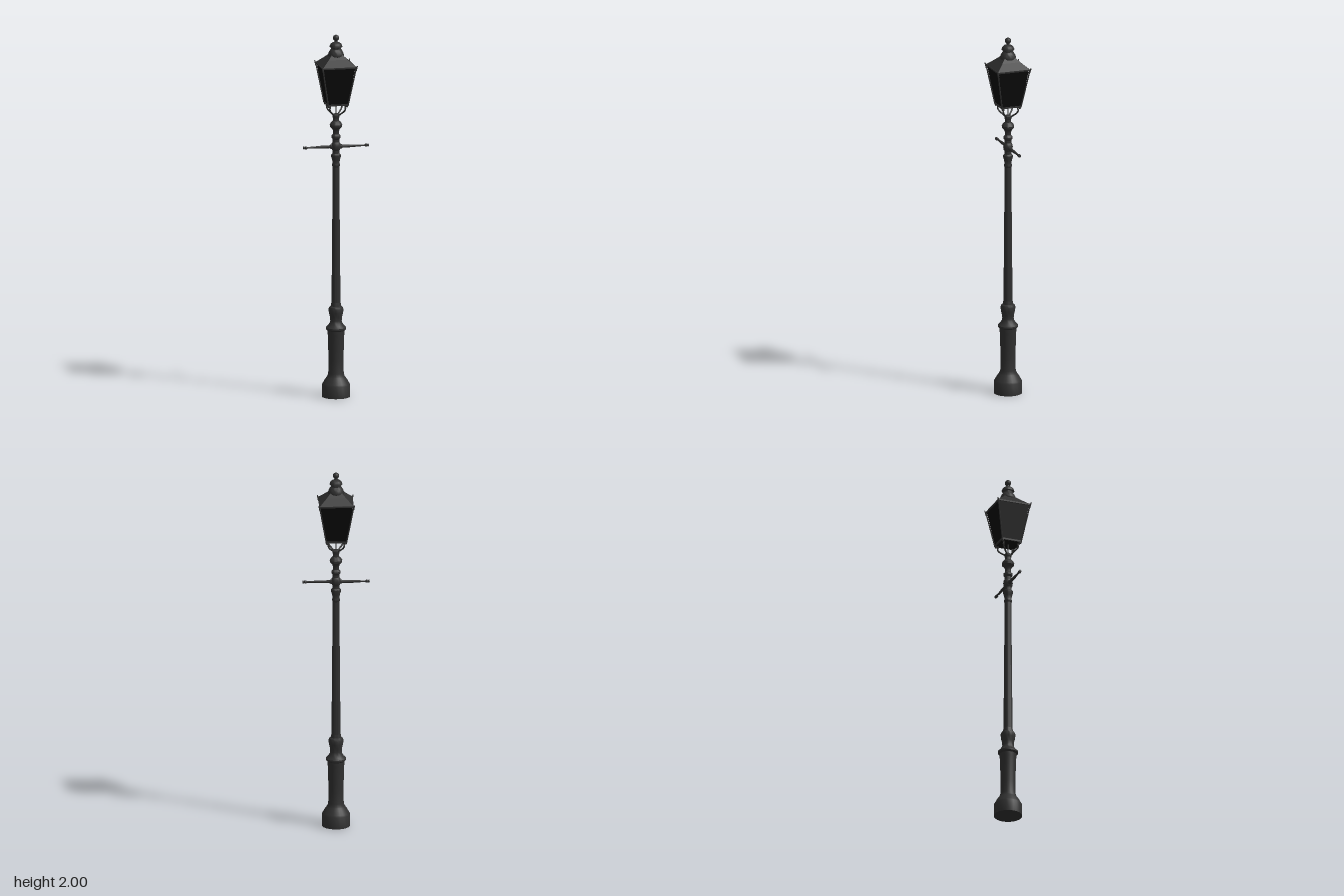
import * as THREE from 'three';
import { toCreasedNormals } from 'three/addons/utils/BufferGeometryUtils.js';

export function createModel() {
  const model = new THREE.Group();
  model.name = 'streetLamp';
  const iron = new THREE.MeshStandardMaterial({ color: 0x303030 });
  iron.name = 'castIron';
  const glass = new THREE.MeshStandardMaterial({ color: 0x0a0a0a, side: THREE.DoubleSide });
  glass.name = 'darkGlass';

  const add = (name, geo, mat = iron, parent = model) => {
    const mesh = new THREE.Mesh(geo, mat);
    mesh.name = name;
    parent.add(mesh);
    return mesh;
  };
  // Turned part from [radius, height] pairs, listed bottom to top
  const turned = (pts, segs = 24) => toCreasedNormals(
    new THREE.LatheGeometry(pts.map(p => new THREE.Vector2(p[0], p[1])), segs), 0.6);
  // Square frustum given by half-widths and heights
  const frustum = (h0, y0, h1, y1, open = false) => {
    let g = new THREE.CylinderGeometry(h1 * Math.SQRT2, h0 * Math.SQRT2, y1 - y0, 4, 1, open);
    g.rotateY(Math.PI / 4).translate(0, (y0 + y1) / 2, 0);
    g = g.toNonIndexed();
    g.computeVertexNormals();
    return g;
  };
  // Tapered rod between two points
  const rod = (a, b, r0, r1, sides = 8) => {
    const dir = b.clone().sub(a);
    const g = new THREE.CylinderGeometry(r1, r0, dir.length(), sides);
    g.applyQuaternion(new THREE.Quaternion().setFromUnitVectors(
      new THREE.Vector3(0, 1, 0), dir.normalize()));
    const m = a.clone().add(b).multiplyScalar(0.5);
    return g.translate(m.x, m.y, m.z);
  };
  const V = (x, y, z) => new THREE.Vector3(x, y, z);

  // Pedestal
  add('pedestal', turned([
    [0, 0], [0.077, 0], [0.077, 0.065], [0.071, 0.075], [0.06, 0.095], [0.05, 0.108],
    [0.046, 0.115], [0.042, 0.13], [0.041, 0.2], [0.043, 0.32], [0.045, 0.345],
    [0.046, 0.365], [0.055, 0.373], [0.055, 0.382], [0.044, 0.392], [0.034, 0.408],
    [0.031, 0.42], [0.033, 0.44], [0.039, 0.465], [0.04, 0.485], [0.036, 0.495],
    [0.028, 0.5], [0.025, 0.52],
  ]));

  // Tapered shaft
  add('shaft', turned([[0.025, 0.51], [0.023, 0.7], [0.018, 1.28]], 16));

  // Moulded neck under the lantern
  add('neck', turned([
    [0.018, 1.27], [0.021, 1.275], [0.021, 1.285], [0.019, 1.29], [0.021, 1.31],
    [0.026, 1.325], [0.026, 1.338], [0.019, 1.345], [0.018, 1.36], [0.025, 1.372],
    [0.026, 1.385], [0.025, 1.398], [0.018, 1.408], [0.018, 1.422], [0.025, 1.432],
    [0.025, 1.442], [0.016, 1.452], [0.016, 1.468], [0.022, 1.482], [0.033, 1.493],
    [0.034, 1.505], [0.026, 1.518], [0.017, 1.525], [0.016, 1.54], [0.019, 1.545],
    [0.019, 1.558], [0.01, 1.565], [0, 1.567],
  ]));

  // Ladder rest, both halves
  for (const s of [1, -1]) {
    const arm = turned([
      [0.012, 0.01], [0.012, 0.03], [0.008, 0.036], [0.008, 0.09], [0.0065, 0.11],
      [0.0045, 0.155], [0.0045, 0.158], [0.008, 0.162], [0.009, 0.168], [0.006, 0.173],
      [0.008, 0.176], [0.008, 0.18], [0, 0.183],
    ], 12);
    arm.rotateZ(-s * Math.PI / 2).translate(0, 1.382, 0);
    add(s > 0 ? 'leftLadderArm' : 'rightLadderArm', arm);
  }

  // Lantern
  const lantern = new THREE.Group();
  lantern.name = 'lantern';
  model.add(lantern);
  add('gasPipe', rod(V(0, 1.555, 0), V(0, 1.63, 0), 0.004, 0.004), iron, lantern);
  add('floor', frustum(0.052, 1.617, 0.053, 1.623), glass, lantern);
  add('panes', frustum(0.053, 1.62, 0.088, 1.832, true), glass, lantern);

  for (const sx of [1, -1]) for (const sz of [1, -1]) {
    // Corner bar with its upturned tip
    add('cornerBar', rod(V(sx * 0.054, 1.616, sz * 0.054), V(sx * 0.092, 1.832, sz * 0.092),
      0.004, 0.004, 6), iron, lantern);
    add('cornerTip', rod(V(sx * 0.089, 1.815, sz * 0.089), V(sx * 0.097, 1.843, sz * 0.097),
      0.006, 0.003, 6), iron, lantern);
    // Curved bracket carrying the corner
    const path = new THREE.CatmullRomCurve3([
      [0.009, 1.552], [0.022, 1.566], [0.037, 1.582], [0.043, 1.598],
      [0.041, 1.61], [0.047, 1.618]].map(([r, y]) => V(sx * r, y, sz * r)));
    add('bracket', new THREE.TubeGeometry(path, 20, 0.0045, 8), iron, lantern);
    const foot = add('bracketFoot', new THREE.SphereGeometry(0.007, 10, 8), iron, lantern);
    foot.position.set(sx * 0.05, 1.614, sz * 0.05);
  }

  // Rails along the lower and upper edges of the glass
  for (const [h, y, t] of [[0.055, 1.622, 0.009], [0.09, 1.832, 0.008]]) {
    for (const s of [1, -1]) {
      add('railX', new THREE.BoxGeometry(2 * h, t, 0.006).translate(0, y, s * h), iron, lantern);
      add('railZ', new THREE.BoxGeometry(0.006, t, 2 * h).translate(s * h, y, 0), iron, lantern);
    }
  }

  // Roof in two slopes
  add('roofLower', frustum(0.093, 1.834, 0.052, 1.871), iron, lantern);
  add('roofUpper', frustum(0.052, 1.871, 0.03, 1.893), iron, lantern);

  // Chimney and ball finial
  add('chimney', turned([
    [0.036, 1.872], [0.043, 1.885], [0.043, 1.892], [0.039, 1.904], [0.033, 1.915],
    [0.026, 1.922], [0.026, 1.93], [0.034, 1.933], [0.034, 1.939], [0.029, 1.95],
    [0.019, 1.958], [0.009, 1.961], [0.008, 1.972],
  ]), iron, lantern);
  add('finial', new THREE.SphereGeometry(0.017, 20, 14).translate(0, 1.983, 0), iron, lantern);

  return model;
}
